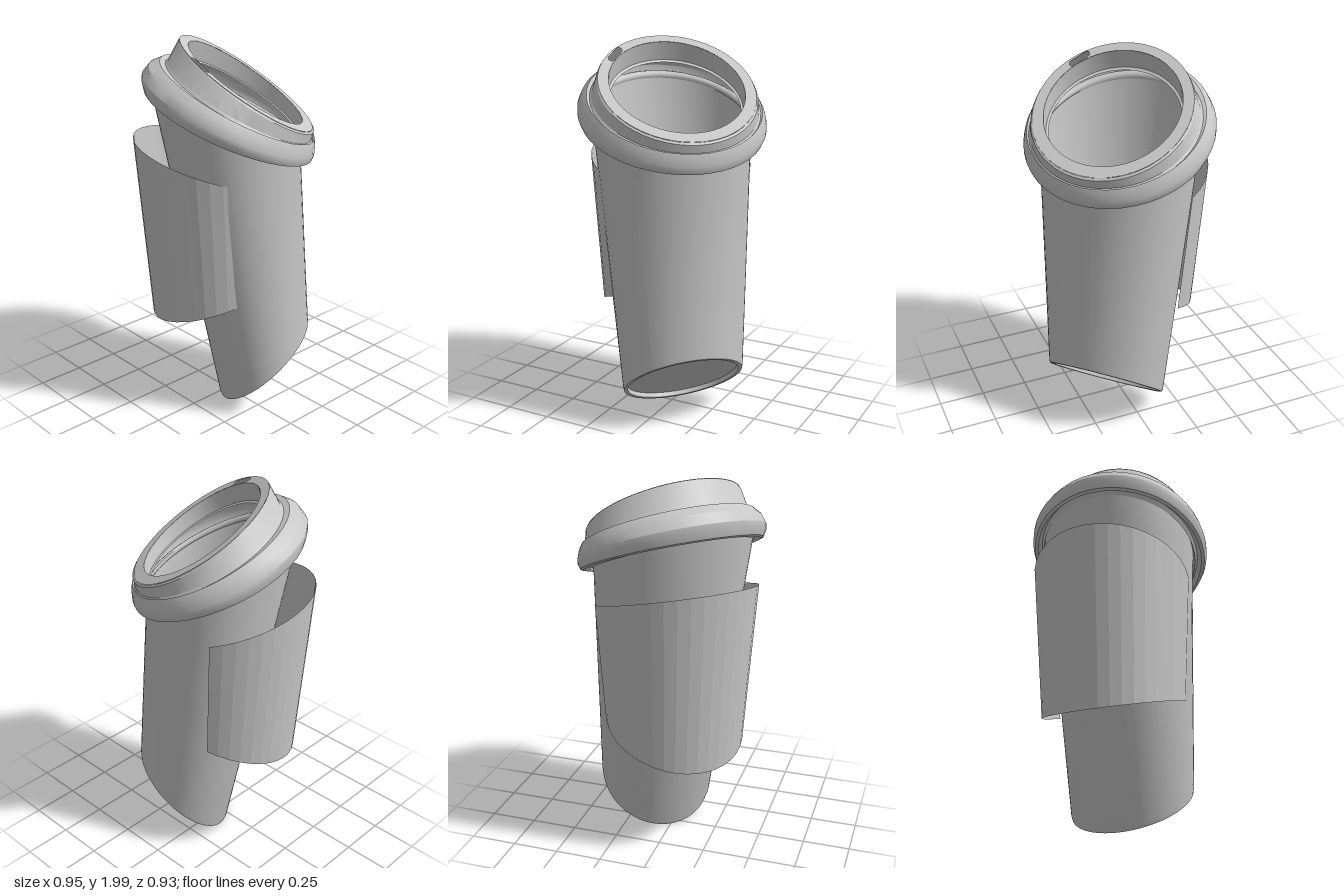
import * as THREE from 'three';
import { toCreasedNormals } from 'three/addons/utils/BufferGeometryUtils.js';

// Skin through tilted elliptical rings. Ring: [centre x, centre y, x radius, z radius, slope, centre z]
function loft(rings, segments = 64, from = 0, to = Math.PI * 2, crease = 0.5) {
  const pos = [], index = [], row = segments + 1;
  for (const [cx, cy, rx, rz, slope, cz = 0] of rings) {
    for (let i = 0; i <= segments; i++) {
      const a = from + (to - from) * i / segments;
      const dx = rx * Math.cos(a);
      pos.push(cx + dx, cy + slope * dx, cz + rz * Math.sin(a));
    }
  }
  // rings run downwards, so these corners face outwards
  for (let j = 0; j < rings.length - 1; j++) {
    for (let i = 0; i < segments; i++) {
      const a = j * row + i, b = a + row;
      index.push(a, a + 1, b, a + 1, b + 1, b);
    }
  }
  const g = new THREE.BufferGeometry();
  g.setAttribute('position', new THREE.Float32BufferAttribute(pos, 3));
  g.setIndex(index);
  return toCreasedNormals(g, crease);
}

export function createModel() {
  const model = new THREE.Group();
  const grey = new THREE.MeshStandardMaterial({ color: 0xc8c8c8, side: THREE.DoubleSide });
  grey.name = 'paperGrey';
  const add = (name, geometry) => {
    const mesh = new THREE.Mesh(geometry, grey);
    mesh.name = name;
    model.add(mesh);
  };

  // Cup wall, rounded foot and recessed floor
  add('cupBody', loft([
    [0.005, 1.60, 0.385, 0.418, -0.45],
    [0.005, 1.53, 0.375, 0.41, -0.42],
    [0.201, 0.235, 0.243, 0.325, 0.88],
    [0.205, 0.217, 0.239, 0.321, 0.89],
    [0.206, 0.215, 0.232, 0.312, 0.89],
    [0.204, 0.217, 0.224, 0.301, 0.89],
    [0.188, 0.235, 0.222, 0.299, 0.89],
    [0.188, 0.235, 0, 0, 0.89],
  ]));

  // Rolled cup rim under the lid
  const rim = [];
  for (let i = 0; i <= 8; i++) {
    const a = i / 8 * Math.PI * 2, out = 0.018 * Math.cos(a);
    rim.push([0.005, 1.60 - 0.018 * Math.sin(a), 0.39 + out, 0.425 + out, -0.45]);
  }
  add('cupRim', loft(rim, 64, 0, Math.PI * 2, 1));

  // Lid shell: raised wall, shoulder and bulging skirt
  add('lidShell', loft([
    [0.10, 1.768, 0.334, 0.404, -0.67],
    [0.10, 1.758, 0.342, 0.412, -0.66],
    [0.07, 1.69, 0.362, 0.43, -0.55],
    [0.065, 1.68, 0.372, 0.44, -0.53],
    [0.055, 1.69, 0.39, 0.452, -0.51],
    [0.03, 1.665, 0.42, 0.475, -0.48],
    [0.012, 1.625, 0.437, 0.49, -0.45],
    [0.01, 1.60, 0.437, 0.49, -0.44],
    [0.01, 1.568, 0.428, 0.477, -0.42],
    [0.01, 1.562, 0.414, 0.46, -0.42],
    [0.01, 1.585, 0.398, 0.436, -0.43],
    [0.01, 1.562, 0.386, 0.424, -0.43],
  ], 48));

  // Lid top ring with the wide opening and the sip slot, tilted by shearing
  const top = new THREE.Shape().absellipse(0.10, 0, 0.334, 0.404, 0, Math.PI * 2);
  top.holes.push(new THREE.Path().absellipse(0.095, 0, 0.287, 0.348, 0, Math.PI * 2, true));
  const slot = new THREE.Path();
  const sx = -0.117, sz = 0.267, r = 0.016, half = 0.038, d = Math.PI / 4;
  const ex = half * Math.cos(d), ez = half * Math.sin(d);
  slot.absarc(sx + ex, sz + ez, r, d - Math.PI / 2, d + Math.PI / 2);
  slot.absarc(sx - ex, sz - ez, r, d + Math.PI / 2, d + Math.PI * 1.5);
  top.holes.push(slot);
  const ring = new THREE.ShapeGeometry(top, 48);
  ring.rotateX(Math.PI / 2);
  const p = ring.attributes.position;
  for (let i = 0; i < p.count; i++) p.setY(i, 1.77 - 0.67 * (p.getX(i) - 0.10));
  // turn the corners so the ring faces up
  const order = ring.index.array;
  for (let i = 0; i < order.length; i += 3) [order[i], order[i + 1]] = [order[i + 1], order[i]];
  ring.computeVertexNormals();
  add('lidTop', ring);

  // Short wall dropping inside the opening, with a small inward lip
  add('lidOpening', loft([
    [0.07, 1.685, 0.278, 0.335, -0.62],
    [0.07, 1.69, 0.29, 0.348, -0.62],
    [0.095, 1.773, 0.287, 0.348, -0.67],
  ]));

  // Thin faceted sleeve standing off the cup, open at the back
  const gap = THREE.MathUtils.degToRad(72.5);
  add('sleeve', loft([
    [-0.064, 1.375, 0.42, 0.42, -0.28, -0.014],
    [-0.035, 0.642, 0.37, 0.37, 0.36, -0.01],
  ], 24, gap, Math.PI * 2 - gap, 0.05));

  model.rotation.y = Math.PI / 4;
  const root = new THREE.Group();
  root.name = 'takeawayCup';
  root.add(model);
  return root;
}
